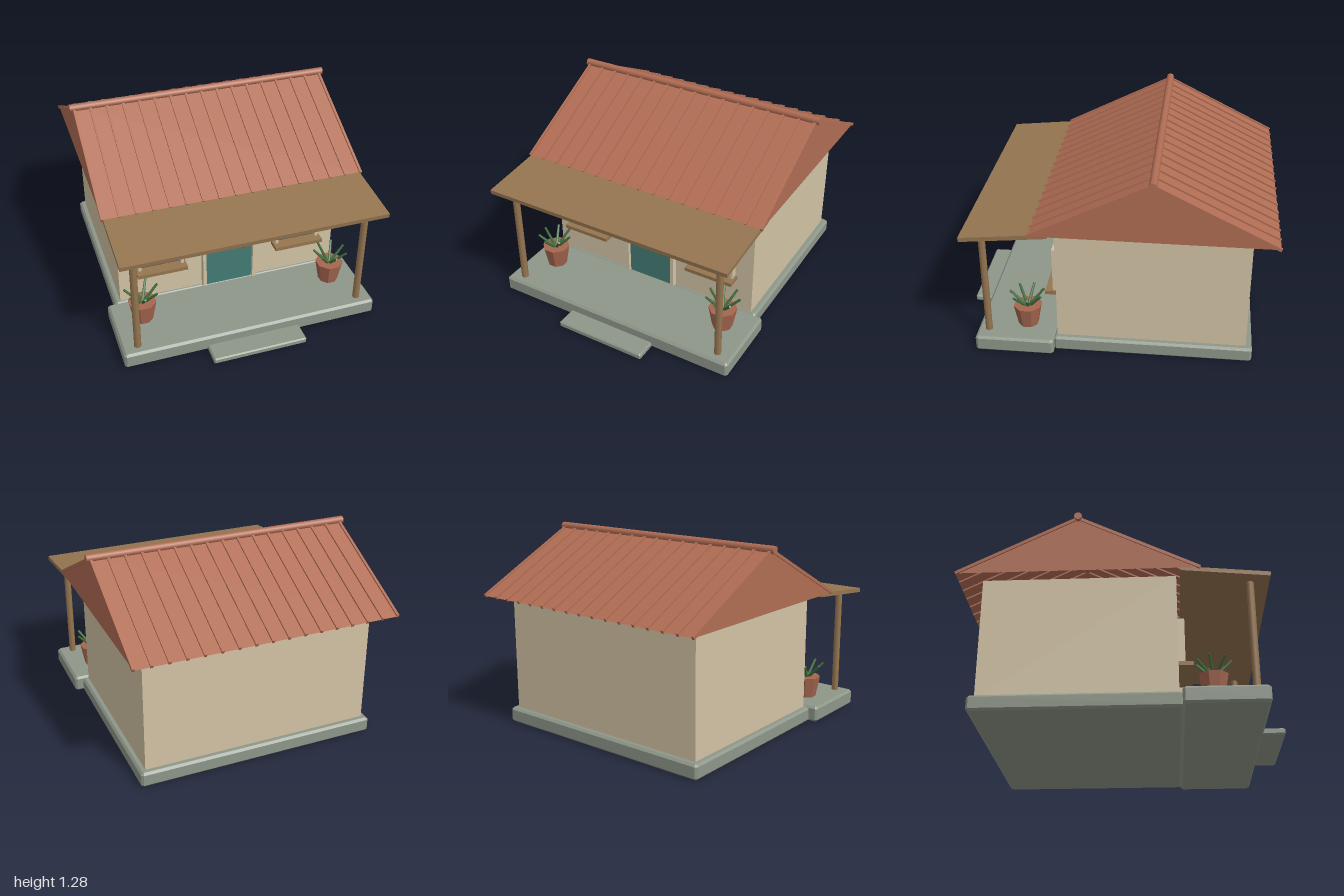
import * as THREE from 'three';

const mat = (name, color, side = THREE.FrontSide) => {
  const m = new THREE.MeshStandardMaterial({ color, side });
  m.name = name;
  return m;
};

export function createModel() {
  const plaster = mat('plaster', 0xd2c3a4);
  const clay = mat('clay roof', 0xb06c53, THREE.DoubleSide);
  const wood = mat('brown wood', 0x957550);
  const stone = mat('grey stone', 0x8e9689);
  const teal = mat('teal door', 0x437a73);
  const glass = mat('blue glass', 0x3c5863);
  const trim = mat('warm trim', 0x94643c);
  const pottery = mat('pottery', 0xa5664f);
  const green = mat('leaf green', 0x42703f);

  const house = new THREE.Group();
  house.name = 'house';

  const add = (name, geometry, material, x = 0, y = 0, z = 0, parent = house) => {
    const mesh = new THREE.Mesh(geometry, material);
    mesh.name = name;
    mesh.position.set(x, y, z);
    parent.add(mesh);
    return mesh;
  };

  // box given by its min and max on each axis
  const box = (name, material, [x0, x1], [y0, y1], [z0, z1], parent = house) =>
    add(name, new THREE.BoxGeometry(x1 - x0, y1 - y0, z1 - z0), material,
      (x0 + x1) / 2, (y0 + y1) / 2, (z0 + z1) / 2, parent);

  // stone slab with chamfered edges, resting on y = 0
  const slab = (name, halfW, h, z0, z1, b) => {
    const d = (z1 - z0) / 2, w = halfW;
    const outline = [[w - b, -d], [w, b - d], [w, d - b], [w - b, d], [b - w, d], [-w, d - b], [-w, b - d], [b - w, -d]];
    const g = new THREE.ExtrudeGeometry(new THREE.Shape(outline.map(p => new THREE.Vector2(...p))), {
      depth: h - 2 * b, bevelThickness: b, bevelSize: b, bevelOffset: -b, bevelSegments: 1,
    });
    g.rotateX(-Math.PI / 2);
    add(name, g, stone, 0, b, (z0 + z1) / 2);
  };
  slab('foundation', 0.79, 0.098, -0.885, 0.37, 0.014);
  slab('porchDeck', 0.845, 0.105, 0.365, 0.866, 0.014);
  slab('frontStep', 0.31, 0.04, 0.85, 1.0, 0.008);

  // walls
  box('walls', plaster, [-0.752, 0.752], [0.09, 0.876], [-0.845, 0.348]);

  // hollow gable roof, open underneath
  const ridgeY = 1.25, eaveY = 0.876, ridgeZ = -0.2525, run = 0.745, halfRoof = 0.85;
  const section = [[eaveY, ridgeZ + run], [ridgeY, ridgeZ], [eaveY, ridgeZ - run]];
  const corners = [halfRoof, -halfRoof].flatMap(x => section.flatMap(([y, z]) => [x, y, z]));
  let shell = new THREE.BufferGeometry();
  shell.setAttribute('position', new THREE.Float32BufferAttribute(corners, 3));
  shell.setIndex([0, 2, 1, 3, 4, 5, 0, 1, 4, 0, 4, 3, 1, 2, 5, 1, 5, 4]);
  shell = shell.toNonIndexed();
  shell.computeVertexNormals();
  add('roofShell', shell, clay);

  // standing ribs on both slopes
  const rise = ridgeY - eaveY, pitch = Math.atan2(rise, run);
  const ribGeometry = new THREE.BoxGeometry(0.017, 0.02, Math.hypot(rise, run));
  for (const s of [1, -1]) {
    for (let i = 0; i < 17; i++) {
      const rib = add('roofRib', ribGeometry, clay, -halfRoof + i * halfRoof / 8, (ridgeY + eaveY) / 2, ridgeZ + s * run / 2);
      rib.rotation.x = s * pitch;
    }
  }
  const ridge = add('ridgeCap', new THREE.CylinderGeometry(0.025, 0.025, 1.755, 10), clay, 0, 1.254, ridgeZ);
  ridge.rotation.z = Math.PI / 2;

  // porch awning
  const awning = add('awning', new THREE.BoxGeometry(1.69, 0.028, 0.54), wood, 0, 0.849, 0.642);
  awning.rotation.x = 0.1;

  // door with frame and handle
  const door = new THREE.Group();
  door.name = 'door';
  house.add(door);
  box('doorLeaf', teal, [-0.16, 0.16], [0.1, 0.69], [0.33, 0.366], door);
  box('doorLintel', plaster, [-0.187, 0.187], [0.71, 0.74], [0.34, 0.385], door);
  box('doorHead', plaster, [-0.165, 0.165], [0.69, 0.71], [0.34, 0.37], door);
  box('doorHandle', trim, [0.097, 0.113], [0.35, 0.395], [0.36, 0.385], door);

  const potGeometry = new THREE.CylinderGeometry(0.092, 0.065, 0.147, 8).rotateY(Math.PI / 8).toNonIndexed();
  potGeometry.computeVertexNormals();
  const leafGeometry = new THREE.CylinderGeometry(0.008, 0.011, 0.16, 5).translate(0, 0.08, 0);

  for (const s of [-1, 1]) {
    const span = (a, b) => s > 0 ? [a, b] : [-b, -a];
    box('doorJamb', plaster, span(0.163, 0.187), [0.1, 0.71], [0.34, 0.385], door);

    // window
    const win = new THREE.Group();
    win.name = 'window';
    win.position.x = s * 0.475;
    house.add(win);
    box('windowGlass', glass, [-0.135, 0.135], [0.35, 0.635], [0.34, 0.362], win);
    box('windowMullion', trim, [-0.005, 0.005], [0.35, 0.63], [0.36, 0.37], win);
    box('windowHead', plaster, [-0.153, 0.153], [0.63, 0.648], [0.34, 0.392], win);
    for (const t of [-1, 1]) {
      const a = t * 0.143;
      box('windowSide', plaster, [a - 0.01, a + 0.01], [0.34, 0.63], [0.34, 0.392], win);
    }
    box('windowSill', wood, [-0.168, 0.168], [0.325, 0.35], [0.34, 0.44], win);

    // porch post
    add('porchPost', new THREE.CylinderGeometry(0.023, 0.023, 0.74, 8), wood, s * 0.745, 0.47, 0.795);

    // potted plant
    const plant = new THREE.Group();
    plant.name = 'pottedPlant';
    plant.position.set(s * 0.65, 0.1, 0.555);
    house.add(plant);
    add('pot', potGeometry, pottery, 0, 0.0735, 0, plant);
    for (let i = 0; i < 7; i++) {
      const leaf = add('leaf', leafGeometry, green, 0, 0.125, 0, plant);
      leaf.rotation.set(0, i * Math.PI * 2 / 7 + 0.2, -0.76, 'YXZ');
    }
  }
  return house;
}
